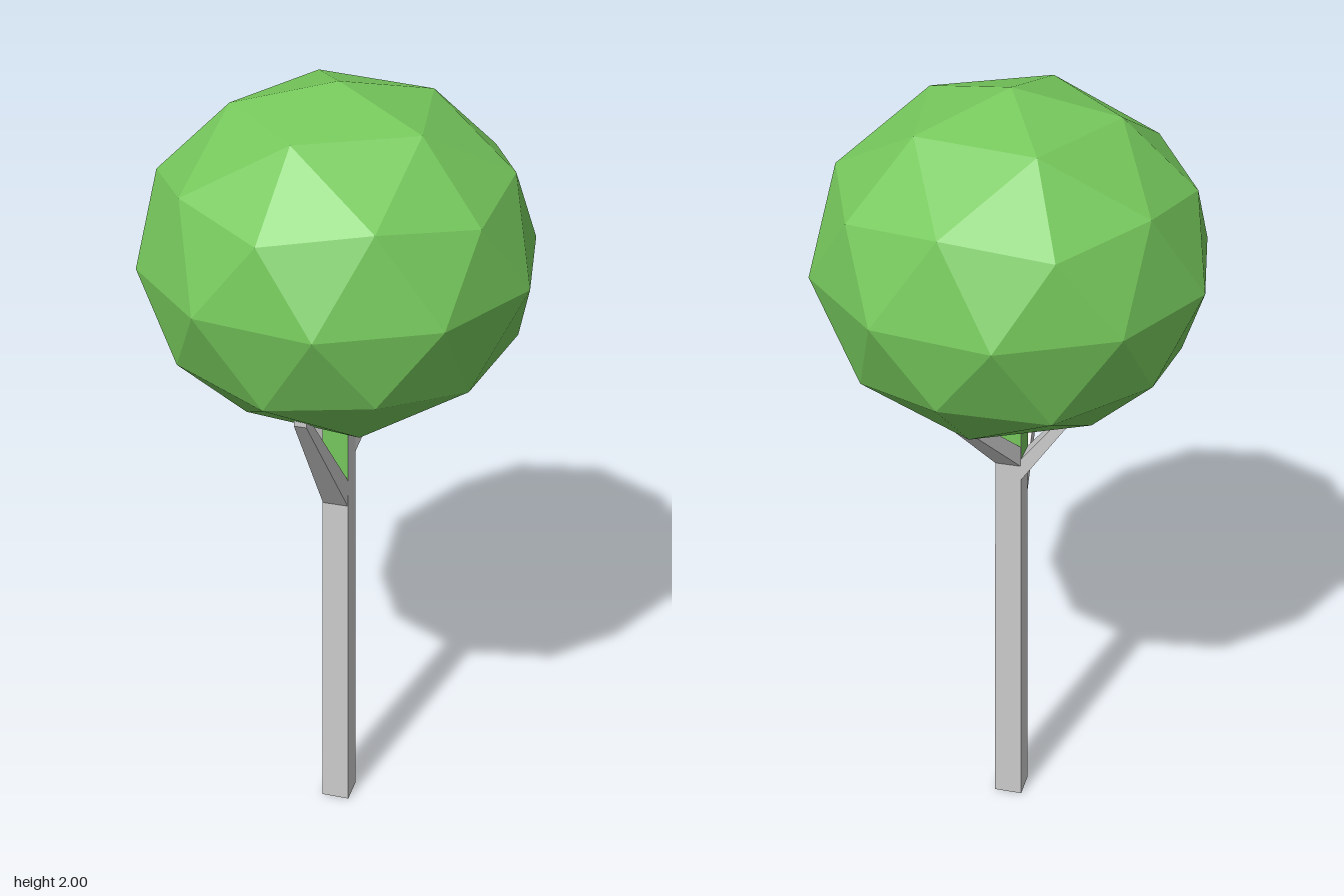
import * as THREE from 'three';

const grey = new THREE.MeshStandardMaterial({ color: 0xcccccc, flatShading: true });
const green = new THREE.MeshStandardMaterial({ color: 0x76c85c, flatShading: true });
const TRUNK_TOP = 1.25;

function addMesh(parent, name, geometry, material) {
  const mesh = new THREE.Mesh(geometry, material);
  mesh.name = name;
  parent.add(mesh);
  return mesh;
}

// Tapered four-sided branch: a box whose back sits on a trunk face
// and whose front end is shrunk and moved to the tip.
function branchGeometry(normal, bottom, top, tip) {
  const up = new THREE.Vector3(0, 1, 0);
  const across = up.clone().cross(normal);
  const base = normal.clone().multiplyScalar(0.031).setY((bottom + top) / 2);
  const geometry = new THREE.BoxGeometry(1, 1, 1);
  const pos = geometry.attributes.position;
  const v = new THREE.Vector3();
  for (let i = 0; i < pos.count; i++) {
    v.fromBufferAttribute(pos, i);
    const atTip = v.z > 0;
    const p = (atTip ? tip : base).clone()
      .addScaledVector(across, v.x * (atTip ? 0.03 : 0.064))
      .addScaledVector(up, v.y * (atTip ? 0.035 : top - bottom));
    pos.setXYZ(i, p.x, p.y, p.z);
  }
  geometry.computeVertexNormals();
  return geometry;
}

export function createModel() {
  const tree = new THREE.Group();
  tree.name = 'tree';

  // Slightly tapered square trunk, corners on the axes
  const trunk = new THREE.CylinderGeometry(0.045, 0.051, TRUNK_TOP, 4);
  addMesh(tree, 'trunk', trunk.translate(0, TRUNK_TOP / 2, 0), grey);

  // Faceted crown, one vertex straight up, a little squashed
  const crown = new THREE.IcosahedronGeometry(1, 1);
  crown.rotateZ(-Math.atan(2 / (1 + Math.sqrt(5))));
  crown.scale(0.475, 0.42, 0.475).translate(0, 1.58, 0);
  addMesh(tree, 'crown', crown, green);

  // Three branches, each growing from one trunk face
  const branches = [
    { name: 'frontBranch', side: [-1, 1], bottom: 0.91, top: 0.985, tip: [-0.215, 1.29, 0.205] },
    { name: 'leftBranch', side: [1, -1], bottom: 1.03, top: 1.085, tip: [0.24, 1.28, -0.11], greenTop: true },
    { name: 'backBranch', side: [-1, -1], bottom: 0.99, top: 1.05, tip: [-0.1, 1.24, -0.16] },
  ];
  for (const b of branches) {
    const normal = new THREE.Vector3(b.side[0], 0, b.side[1]).normalize();
    const geometry = branchGeometry(normal, b.bottom, b.top, new THREE.Vector3(...b.tip));
    const material = b.greenTop ? [grey, grey, green, grey, grey, grey] : grey;
    addMesh(tree, b.name, geometry, material);

    // Green trunk face above the branch
    const panel = new THREE.PlaneGeometry(0.064, TRUNK_TOP - b.top);
    panel.rotateY(Math.atan2(normal.x, normal.z));
    panel.translate(normal.x * 0.0335, (TRUNK_TOP + b.top) / 2, normal.z * 0.0335);
    addMesh(tree, b.name + 'Panel', panel, green);
  }
  return tree;
}
